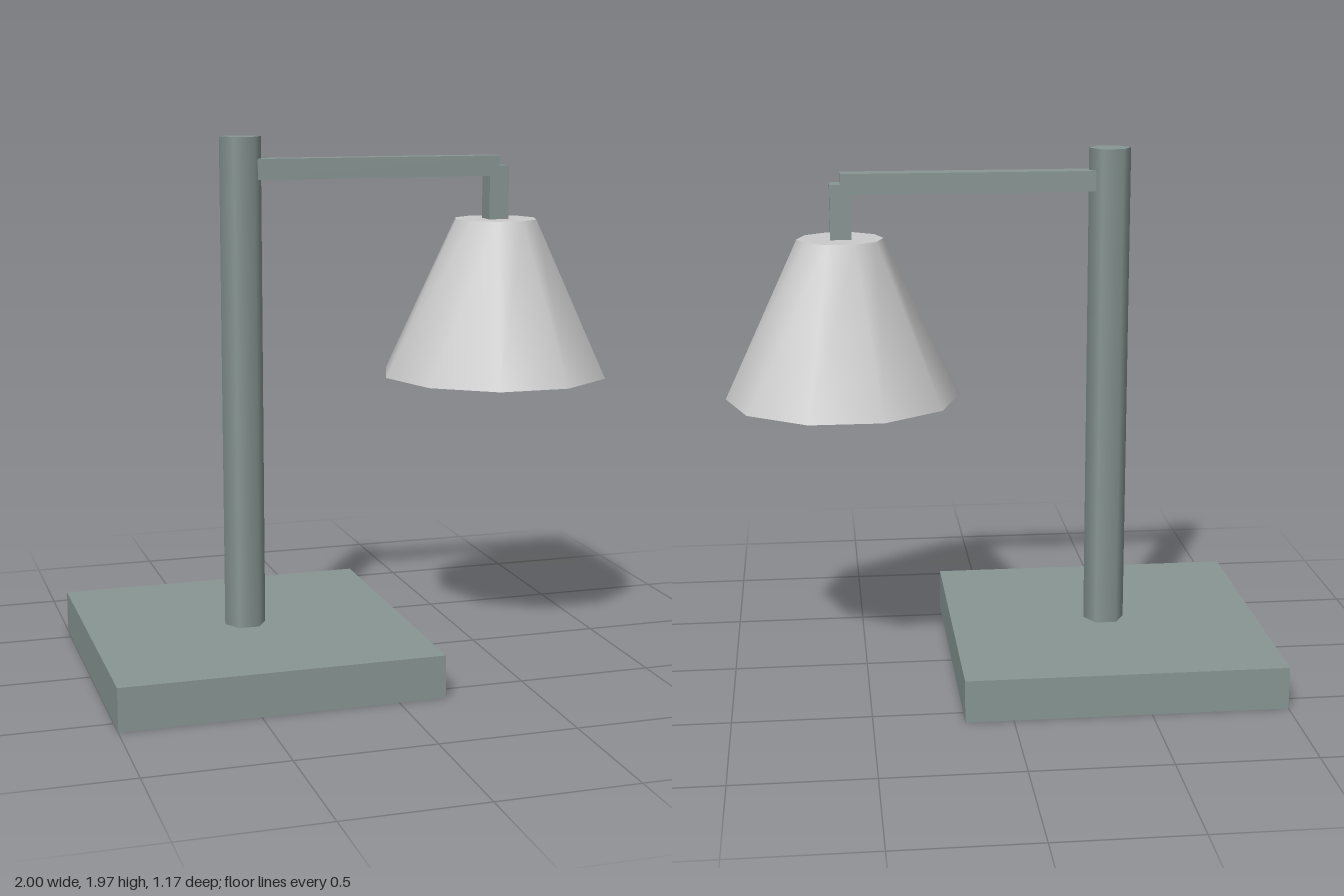
import * as THREE from 'three';

export function createModel() {
  const model = new THREE.Group();
  model.name = 'deskLamp';

  const metal = new THREE.MeshStandardMaterial({ color: 0x889694 });
  metal.name = 'grey green metal';
  const pale = new THREE.MeshStandardMaterial({ color: 0xcbcccb });
  pale.name = 'pale grey';

  const add = (name, geometry, material, x, y, z = 0) => {
    const mesh = new THREE.Mesh(geometry, material);
    mesh.name = name;
    mesh.position.set(x, y, z);
    model.add(mesh);
  };
  // Box given by its x and y extents, centred on z = 0
  const addBar = (name, x0, x1, y0, y1, depth) =>
    add(name, new THREE.BoxGeometry(x1 - x0, y1 - y0, depth), metal, (x0 + x1) / 2, (y0 + y1) / 2);
  // Upright tapered prism with a corner pointing along +x
  const addPrism = (name, rTop, rBottom, sides, y0, y1, x, material) =>
    add(name, new THREE.CylinderGeometry(rTop, rBottom, y1 - y0, sides, 1, false, Math.PI / 2),
      material, x, (y0 + y1) / 2);

  // Square foot and hexagonal post
  addBar('base', -1, 0.174, 0, 0.157, 1.174);
  addPrism('post', 0.077, 0.077, 6, 0.15, 1.965, -0.415, metal);

  // Horizontal arm and short hanger
  addBar('arm', -0.36, 0.567, 1.81, 1.885, 0.078);
  addBar('hanger', 0.529, 0.605, 1.64, 1.847, 0.077);

  // Ten-sided shade, closed at both ends
  addPrism('shade', 0.157, 0.431, 10, 1.06, 1.648, 0.569, pale);

  return model;
}
